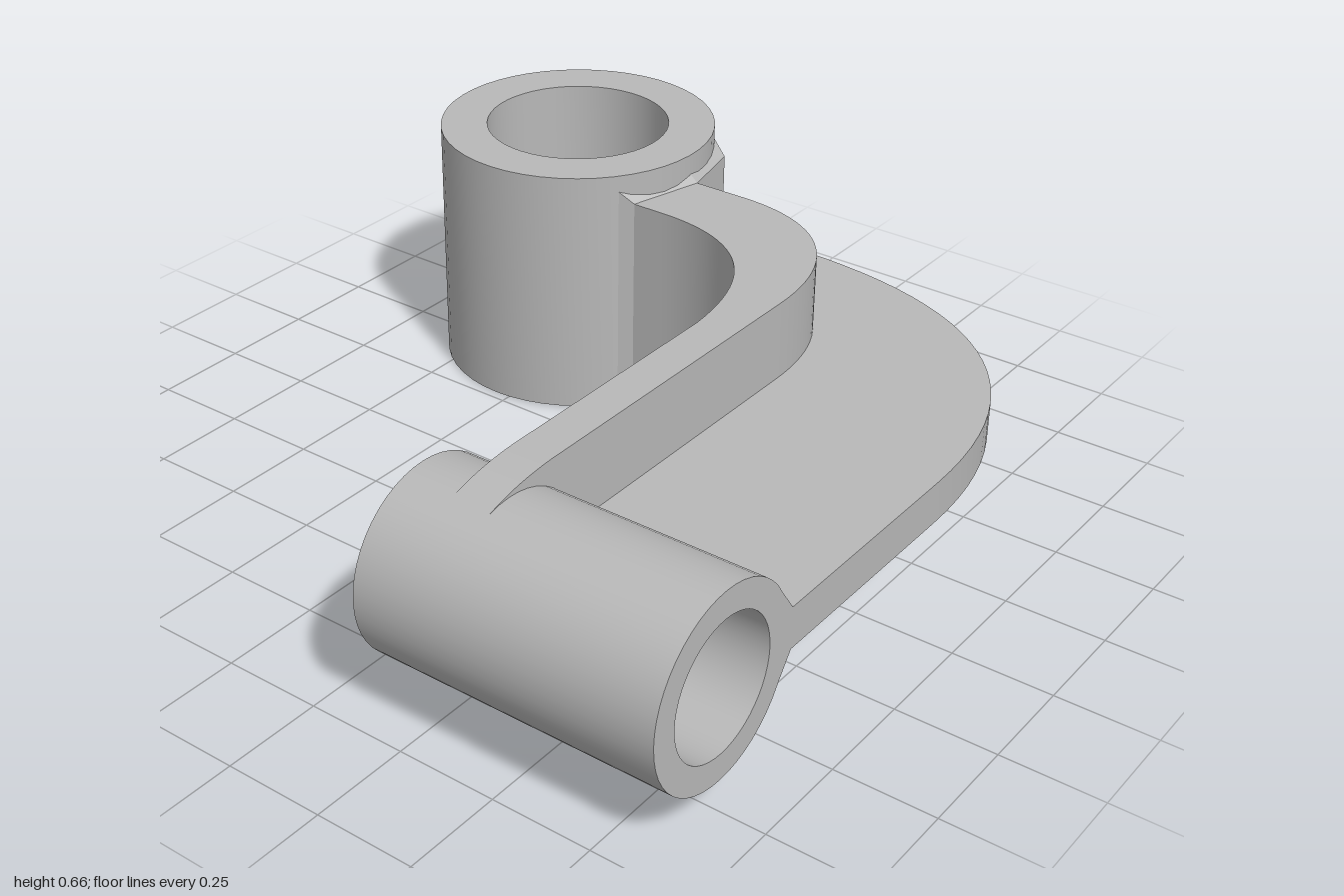
import * as THREE from 'three';
import { toCreasedNormals } from 'three/addons/utils/BufferGeometryUtils.js';
import { ConvexGeometry } from 'three/addons/geometries/ConvexGeometry.js';

const rad = THREE.MathUtils.degToRad;

export function createModel() {
  const model = new THREE.Group();
  model.name = 'bellcrankLever';
  const metal = new THREE.MeshStandardMaterial({ color: 0xb8b8b8 });
  metal.name = 'greyMetal';

  const add = (name, geometry) => {
    const mesh = new THREE.Mesh(geometry, metal);
    mesh.name = name;
    model.add(mesh);
    return mesh;
  };

  const extrude = (shape, depth, curveSegments = 24) => toCreasedNormals(
    new THREE.ExtrudeGeometry(shape, { depth, bevelEnabled: false, curveSegments }), rad(35));

  // Extrude a plan outline upwards; outlines are drawn as (x, -z)
  const addPlan = (name, shape, y0, y1) =>
    add(name, extrude(shape, y1 - y0).rotateX(-Math.PI / 2).translate(0, y0, 0));

  // Extrude a front outline along z
  const addFront = (name, shape, z0, z1) =>
    add(name, extrude(shape, z1 - z0).translate(0, 0, z0));

  const ring = (x, y, outer, inner) => {
    const shape = new THREE.Shape().absarc(x, y, outer, 0, Math.PI * 2, false);
    shape.holes.push(new THREE.Path().absarc(x, y, inner, 0, Math.PI * 2, true));
    return shape;
  };

  // Two hollow bosses at right angles
  addPlan('uprightBoss', ring(0.637, 0.543, 0.362, 0.24), 0, 0.66);
  addFront('crossBoss', ring(-0.77, 0.332, 0.23, 0.163), 0.14, 0.9);

  // Tall curved wall, thicker towards the upright boss
  const wall = new THREE.Shape();
  wall.moveTo(-0.5, -0.37);
  wall.lineTo(0.22, -0.37);
  wall.bezierCurveTo(0.49, -0.37, 0.645, -0.22, 0.645, 0.02);
  wall.lineTo(0.645, 0.2);
  wall.lineTo(0.445, 0.24);
  wall.lineTo(0.445, 0.13);
  wall.bezierCurveTo(0.445, -0.1, 0.32, -0.25, 0.03, -0.27);
  wall.lineTo(-0.5, -0.27);
  addPlan('curvedWall', wall, 0.08, 0.585);

  // Flat web on the outside of the bend
  const web = new THREE.Shape();
  web.moveTo(-0.58, -0.9);
  web.lineTo(0.05, -0.9);
  web.bezierCurveTo(0.55, -0.9, 0.825, -0.6, 0.825, -0.05);
  web.lineTo(0.825, 0.24);
  web.lineTo(0.6, 0.24);
  web.lineTo(0.6, 0);
  web.bezierCurveTo(0.6, -0.2, 0.46, -0.32, 0.2, -0.32);
  web.lineTo(-0.58, -0.32);
  addPlan('outerWeb', web, 0.28, 0.385);

  // Wall end wrapping around the cross boss
  const root = new THREE.Shape();
  root.moveTo(-0.5, 0.08);
  root.lineTo(-0.5, 0.585);
  root.lineTo(-0.63, 0.585);
  root.quadraticCurveTo(-0.77, 0.582, -0.867, 0.54);
  root.absarc(-0.77, 0.332, 0.19, rad(115), rad(-115), true);
  root.lineTo(-0.867, 0.124);
  root.quadraticCurveTo(-0.77, 0.082, -0.63, 0.08);
  addFront('wallRoot', root, 0.27, 0.37);

  // Slim gussets running from the cross boss onto the web
  for (const side of [1, -1]) {
    const gusset = new THREE.Shape();
    gusset.moveTo(-0.525, 0.332 + side * 0.05);
    gusset.lineTo(-0.587, 0.332 + side * 0.137);
    gusset.lineTo(-0.6, 0.332 + side * 0.1);
    gusset.lineTo(-0.575, 0.332 + side * 0.04);
    addFront('gusset', gusset, 0.36, 0.9);
  }

  // Faceted pad joining wall and web to the upright boss
  const pad = [];
  const corners = (points, ...heights) => {
    for (const [x, z] of points) for (const y of heights) pad.push(new THREE.Vector3(x, y, z));
  };
  corners([[0.42, -0.26], [0.64, -0.2], [0.85, -0.26]], 0.04, 0.625);
  corners([[0.445, -0.215], [0.645, -0.162], [0.825, -0.2]], 0.08, 0.585);
  add('bossPad', new ConvexGeometry(pad));

  return model;
}
